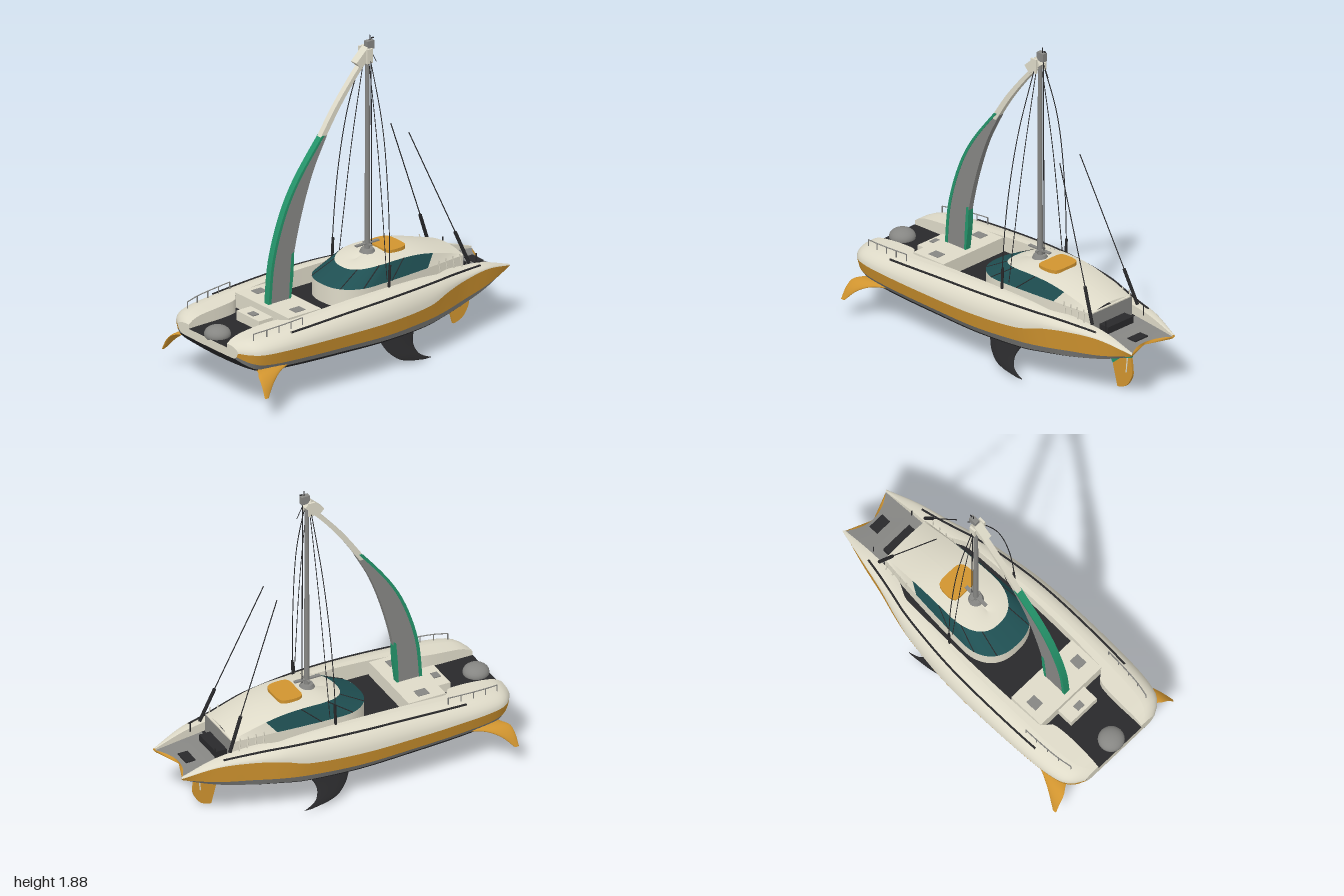
import * as THREE from 'three';

const mat = (name, color) => new THREE.MeshStandardMaterial({ name, color, side: THREE.DoubleSide });
const M = {
  cream: mat('cream', 0xdedac8), orange: mat('orange', 0xd0942f), gray: mat('gray', 0x868683),
  black: mat('black', 0x29292b), teal: mat('teal glass', 0x1f4f52), green: mat('green', 0x24946a),
};
const V = (x, y, z) => new THREE.Vector3(x, y, z);

// smooth interpolation through table rows [x, value, value...]
function sample(rows, x, k) {
  let i = 0;
  while (i < rows.length - 2 && x > rows[i + 1][0]) i++;
  const slope = j => {
    const a = rows[Math.max(j - 1, 0)], b = rows[Math.min(j + 1, rows.length - 1)];
    return (b[k] - a[k]) / (b[0] - a[0]);
  };
  const a = rows[i], b = rows[i + 1], d = b[0] - a[0];
  const t = Math.min(1, Math.max(0, (x - a[0]) / d)), s = t * t * (3 - 2 * t);
  return a[k] * (1 - s) + b[k] * s + d * t * (1 - t) * ((1 - t) * slope(i) - t * slope(i + 1));
}
// grid surface from f(u, v) -> Vector3
function surface(f, nu, nv) {
  const pos = [], idx = [];
  for (let i = 0; i <= nu; i++) for (let j = 0; j <= nv; j++) pos.push(...f(i / nu, j / nv).toArray());
  for (let i = 0; i < nu; i++) for (let j = 0; j < nv; j++) {
    const a = i * (nv + 1) + j, b = a + nv + 1;
    idx.push(a, b, a + 1, b, b + 1, a + 1);
  }
  const g = new THREE.BufferGeometry();
  g.setAttribute('position', new THREE.Float32BufferAttribute(pos, 3));
  g.setIndex(idx);
  g.computeVertexNormals();
  return g;
}

// hull stations: x, half beam, deck, orange top, orange bottom, gray bottom, keel
const HULL = [
  [-0.99, .27, .385, .355, .33, .315, .31], [-0.95, .335, .41, .355, .305, .28, .26],
  [-0.88, .375, .425, .352, .285, .25, .215], [-0.7, .40, .44, .35, .275, .24, .18],
  [-0.3, .41, .465, .342, .262, .225, .162], [0, .40, .472, .336, .25, .21, .157],
  [0.3, .36, .465, .34, .25, .205, .167], [0.45, .325, .45, .372, .255, .215, .185],
  [0.6, .28, .43, .385, .265, .225, .21], [0.8, .23, .405, .385, .285, .26, .255],
  [1, .172, .345, .338, .325, .32, .32]];
const WELL = [[-0.99, .17, .36], [-0.66, .18, .365], [-0.6, .24, .37], [0.42, .24, .37],
  [0.55, .185, .37], [0.68, .17, .365], [0.8, .165, .355], [1, .16, .335]];
const h = (x, k) => sample(HULL, x, k), well = (x, k) => sample(WELL, x, k);
// the tail end is hollowed in plan
const warp = (x, y, z) => V(x - 0.07 * Math.max(0, (x - 0.8) / 0.2) * Math.max(0, 1 - (z / 0.17) ** 2), y, z);
const lerp = THREE.MathUtils.lerp;
const BANDS = {
  topside: (x, v) => {
    const B = h(x, 1), zi = Math.max(well(x, 1), 0.7 * B), t = v * Math.PI / 2;
    return [zi + (B - zi) * Math.cos(t), h(x, 3) + (h(x, 2) - h(x, 3)) * Math.sin(t)];
  },
  deck: (x, v) => [lerp(Math.max(well(x, 1), 0.7 * h(x, 1)), well(x, 1), v), h(x, 2)],
  wellWall: (x, v) => [well(x, 1), lerp(h(x, 2), well(x, 2), v)],
  floor: (x, v) => [well(x, 1) * (1 - v), well(x, 2)],
  orangeBand: (x, v) => [h(x, 1) * lerp(1, .95, v), lerp(h(x, 3), h(x, 4), v)],
  chine: (x, v) => [h(x, 1) * lerp(.95, .88, v), lerp(h(x, 4), h(x, 5), v)],
  bottom: (x, v) => {
    const t = v * Math.PI / 2;
    return [h(x, 1) * .88 * Math.cos(t), h(x, 5) - (h(x, 5) - h(x, 6)) * Math.sin(t)];
  },
};

export function createModel() {
  const root = new THREE.Group();
  root.name = 'sailingYacht';
  const add = (name, geo, m, p) => {
    const o = new THREE.Mesh(geo, m);
    o.name = name;
    if (p) o.position.set(...p);
    root.add(o);
    return o;
  };
  const box = (name, x0, x1, y0, y1, w, m, z = 0) =>
    add(name, new THREE.BoxGeometry(x1 - x0, y1 - y0, w), m, [(x0 + x1) / 2, (y0 + y1) / 2, z]);
  const tube = (name, pts, r, m) => add(name, new THREE.TubeGeometry(
    new THREE.CatmullRomCurve3(pts.map(p => V(...p))), pts.length > 2 ? 28 : 1, r, 6), m);
  const plate = (name, pts, depth, m) => {
    const g = new THREE.ExtrudeGeometry(new THREE.Shape(pts.map(p => new THREE.Vector2(...p))),
      { depth, bevelEnabled: false });
    return add(name, g.translate(0, 0, -depth / 2), m);
  };
  const curve = pts => new THREE.SplineCurve(pts.map(p => new THREE.Vector2(...p))).getPoints(24).map(p => [p.x, p.y]);

  // hull in colour bands, both sides
  for (const s of [1, -1]) {
    const band = (key, m, x0 = -0.99, x1 = 1) => add(key, surface((u, v) => {
      const x = lerp(x0, x1, u), [z, y] = BANDS[key](x, v);
      return warp(x, y, s * z);
    }, 70, 8), m);
    band('topside', M.cream);
    band('deck', M.cream);
    band('wellWall', M.cream);
    band('floor', M.black, -0.99, 0.7);
    band('floor', M.gray, 0.7, 1);
    band('orangeBand', M.orange);
    band('chine', M.gray);
    band('bottom', M.black, -0.99, 0.72);
    band('bottom', M.gray, 0.72, 1);
    // end caps
    for (const [x, m] of [[-0.99, M.cream], [1, M.orange]]) {
      const ring = [];
      for (const [k, rev] of [['floor', 1], ['wellWall', 1], ['deck', 1], ['topside', 1], ['orangeBand', 0], ['chine', 0], ['bottom', 0]])
        for (let i = 0; i < 6; i++) ring.push(new THREE.Vector2(...BANDS[k](x, rev ? 1 - i / 6 : i / 6)));
      ring.push(new THREE.Vector2(0, h(x, 6)));
      const g = new THREE.ShapeGeometry(new THREE.Shape(ring)), p = g.attributes.position;
      for (let i = 0; i < p.count; i++) p.setXYZ(i, ...warp(x, p.getY(i), s * p.getX(i)).toArray());
      g.computeVertexNormals();
      add('endCap', g, m);
    }
    // dark track along the sheer
    const track = [];
    for (let x = -0.68; x < 0.78; x += 0.12) { const [z, y] = BANDS.topside(x, .61); track.push([x, y + .003, s * z]); }
    tube('sheerTrack', track, .006, M.black);
    // bow rail and posts
    const rail = [];
    for (let x = -0.9; x < -0.55; x += 0.08) {
      const z = s * h(x, 1) * .8, y = h(x, 2);
      rail.push([x, y + .035, z]);
      tube('railPost', [[x, y - .02, z], [x, y + .035, z]], .003, M.gray);
    }
    tube('bowRail', rail, .0035, M.gray);
    for (let x = 0.5; x < 0.68; x += 0.05) tube('cabinStanchion', [[x, .42, s * .185], [x - .01, .5, s * .18]], .004, M.cream);
    box('cockpitSeat', -0.53, -0.46, .455, .461, .06, M.gray, s * .17);
  }

  // deck furniture
  box('mastStep', -0.61, -0.38, .36, .458, .475, M.cream);
  box('foredeckLocker', -0.71, -0.61, .36, .42, .2, M.cream);
  box('lockerLid', -0.69, -0.65, .42, .426, .05, M.gray);
  add('bowPod', new THREE.SphereGeometry(.075, 24, 16), M.gray, [-0.922, .37, 0]).scale.y = .65;
  box('tailStep', .68, .75, .35, .4, .2, M.black);
  box('tailHatch', .85, .91, .345, .353, .1, M.black);

  // cabin: U-shaped rings stacked from wall to roof
  const TOP = [[-0.19, .53], [-0.05, .567], [.1, .592], [.3, .592], [.45, .57], [.68, .505]];
  const plan = (u, xf, W, Wr) => {
    const q = Math.abs(u * 2 - 1), s = Math.sign(u * 2 - 1), L = .2;
    if (q < .5) { const a = q * Math.PI; return [xf + L * (1 - Math.cos(a)), s * W * Math.sin(a) ** .8]; }
    const t = (q - .5) * 2;
    return [lerp(xf + L, .68, t), s * lerp(W, Wr, t ** 1.5)];
  };
  const low = (u, y) => { const [x, z] = plan(u, -0.19, .208, .16); return V(x, y, z); };
  const high = (u, k = 1) => {
    const [x, z] = plan(u, -0.05, .168, .148);
    return V(lerp(.2, x, .6 + .4 * k) * (x < .2 ? 1 : 0) + (x < .2 ? 0 : x), sample(TOP, x, 1) - .022 * k * k, z * k);
  };
  add('cabinWall', surface((u, v) => low(u, lerp(.36, .478, v)), 64, 1), M.cream);
  const side = (u0, u1) => surface((u, v) => low(lerp(u0, u1, u), .478).lerp(high(lerp(u0, u1, u)), v), 48, 4);
  add('windows', side(.1, .9), M.teal);
  for (const [a, b] of [[0, .1], [.9, 1]]) add('cabinQuarter', side(a, b), M.cream);
  add('cabinRoof', surface((u, v) => high(u, 1 - v), 64, 8), M.cream);
  box('cabinBack', .67, .682, .36, .478, .318, M.gray);
  box('cabinBackTop', .67, .682, .478, .484, .296, M.cream);
  for (const u of [.2, .3, .41, .59, .7, .8])
    tube('windowPillar', [low(u, .478).toArray(), high(u).toArray()], .003, M.black);
  const hatch = new THREE.Shape(curve([[.2, 0], [.205, .085], [.27, .1], [.335, .08], [.345, 0], [.335, -.08], [.27, -.1], [.205, -.085], [.2, 0]]).map(p => new THREE.Vector2(...p)));
  add('roofHatch', new THREE.ExtrudeGeometry(hatch, { depth: .03, bevelEnabled: false }).rotateX(Math.PI / 2), M.orange, [0, .605, 0]);

  // curved wing mast
  const front = curve([[-0.575, .45], [-0.55, .7], [-0.475, .95], [-0.37, 1.15], [-0.2, 1.37]]);
  const back = curve([[-0.425, .45], [-0.4, .7], [-0.34, .95], [-0.26, 1.18], [-0.165, 1.365]]);
  plate('wingMast', [...front, ...back.slice().reverse()], .034, M.gray);
  const shift = (pts, d) => pts.map(([x, y]) => [x + d, y]);
  plate('wingLeadingEdge', [...shift(front, -.003), ...shift(front, .016).reverse()], .04, M.green);
  plate('wingFlap', [[-.432, .45], [-.425, .6], [-.415, .72], [-.398, .73], [-.402, .6], [-.42, .45]], .038, M.green);
  plate('wingTip', [...curve([[-.23, 1.33], [-.11, 1.51], [.02, 1.67], [.12, 1.78]]),
    ...curve([[.13, 1.75], [.04, 1.655], [-.08, 1.5], [-.19, 1.33]])], .034, M.cream);
  box('mastHeadCowl', .04, .15, 1.735, 1.79, .05, M.cream).rotation.z = .75;

  // upright mast and masthead fittings
  add('mast', new THREE.CylinderGeometry(.012, .016, 1.25, 14), M.gray, [.132, 1.2, 0]);
  tube('halyard', [[.162, .62, 0], [.158, 1.8, 0]], .003, M.black);
  add('mastCollar', new THREE.CylinderGeometry(.035, .045, .02, 20), M.gray, [.132, .6, 0]);
  box('mastCrossbar', .05, .21, .636, .644, .02, M.gray);
  box('mastSpreader', .125, .14, .632, .64, .07, M.gray);
  for (const z of [-.036, .036]) box('mastHeadPanel', .1, .14, 1.73, 1.815, .012, M.cream, z);
  box('mastCap', .12, .17, 1.8, 1.85, .03, M.gray);
  tube('antenna', [[.15, 1.83, 0], [.15, 1.88, 0]], .003, M.black);
  tube('windVane', [[.16, 1.86, 0], [.175, 1.86, 0]], .004, M.black);
  tube('mastHeadStay', [[.16, 1.78, 0], [.195, 1.71, 0]], .002, M.black);

  // loft of lens sections: rows of z, y, x start, x end, thickness
  const foil = (name, rows, s, m) => {
    const line = k => new THREE.CatmullRomCurve3(rows.map(r => V(r[k], r[1], r[0])));
    const a = line(2), b = line(3), th = rows.map((r, i) => [i, r[4]]);
    return add(name, surface((u, v) => {
      const t = v * Math.PI * 2, p = a.getPoint(u), q = b.getPoint(u);
      const d = a.getTangent(u), len = Math.hypot(d.y, d.z) || 1;
      const k = Math.sin(t) * sample(th, u * (rows.length - 1), 1) / 2;
      const c = p.lerp(q, .5 - .5 * Math.cos(t));
      return V(c.x, c.y - d.z / len * k, s * (c.z + d.y / len * k));
    }, 24, 16), m);
  };
  for (const s of [1, -1]) {
    foil('bowFoil', [[.24, .225, -.88, -.58, .03], [.33, .245, -.9, -.66, .026], [.385, .237, -.935, -.78, .022],
      [.425, .2, -.945, -.86, .018], [.46, .135, -.95, -.925, .008]], s, M.orange);
    foil('keelFin', [[.25, .22, -.01, .29, .026], [.273, .16, .012, .24, .024], [.295, .11, .04, .222, .02],
      [.318, .06, .095, .24, .014], [.327, .036, .155, .275, .01], [.335, .018, .27, .322, .005]], s, M.black);
    // shrouds, stays and poles
    tube('outerShroud', [[.125, 1.8, s * .02], [.115, 1.4, s * .155], [.1, 1, s * .225], [.088, .6, s * .255], [.085, .48, s * .255]], .0028, M.black);
    tube('shroudTensioner', [[.09, .6, s * .254], [.084, .47, s * .254]], .008, M.black);
    tube('innerShroud', [[.125, 1.78, s * .015], [.115, 1.2, s * .12], [.1, .5, s * .215]], .0024, M.black);
    tube('sternPole', [[.36, 1.27, s * .08], [.63, .62, s * .157]], .003, M.black);
    tube('poleSleeve', [[.625, .63, s * .156], [.705, .43, s * .18]], .01, M.black);
    tube('sternPost', [[.78, .4, s * .15], [.78, .46, s * .15]], .004, M.black);
  }

  // rudder
  plate('rudderHead', [[.64, .235], [.85, .275], [.835, .21], [.755, .185], [.695, .135]], .016, M.green);
  plate('rudderBlade', [[.695, .135], [.73, .005], ...curve([[.745, .005], [.8, .03], [.838, .09], [.842, .14], [.833, .21]]), [.755, .185]], .014, M.orange);
  plate('rudderStripe', [[.795, .11], [.802, .11], [.812, .2], [.804, .2]], .018, M.cream);
  return root;
}
